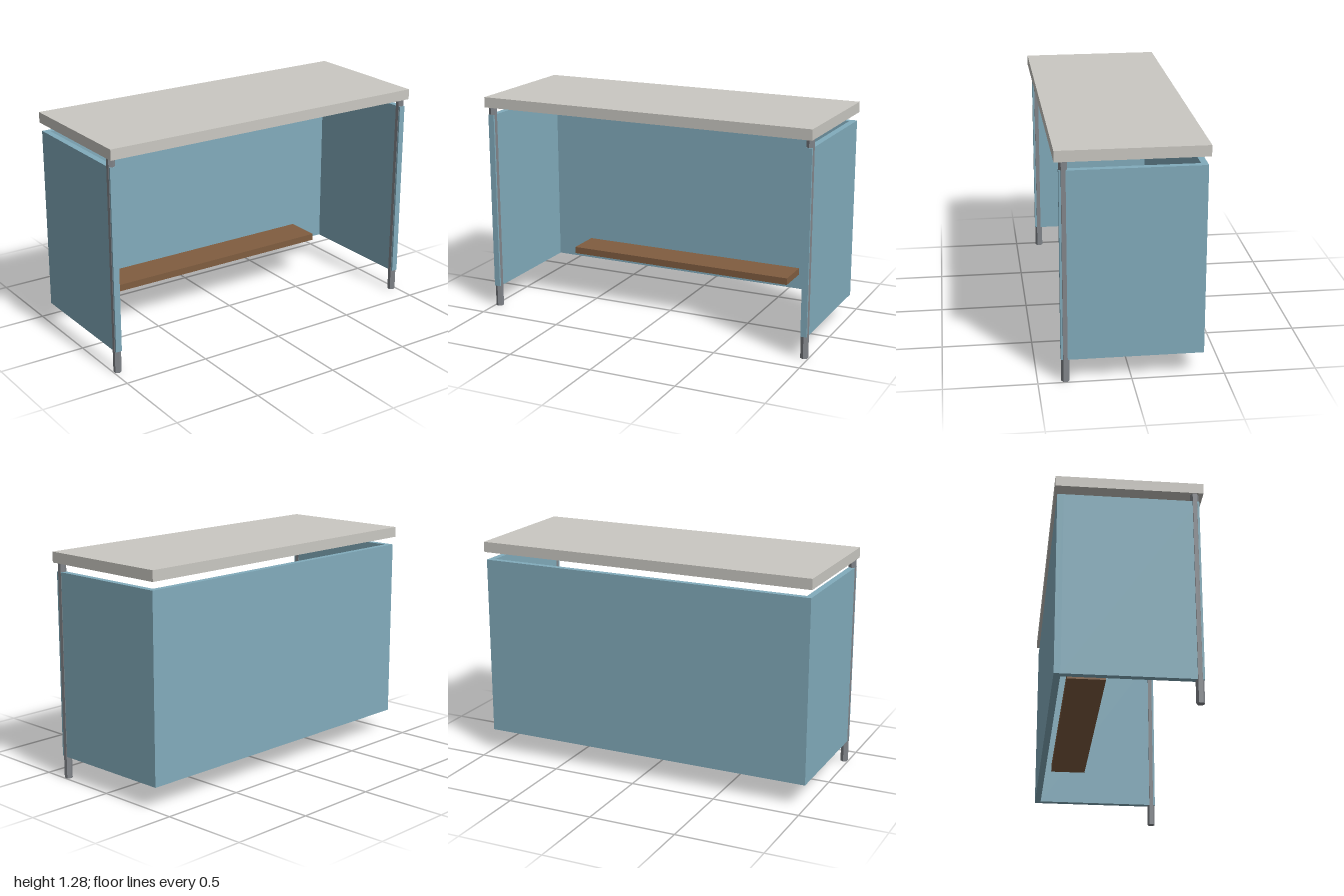
import * as THREE from 'three';

const material = (name, color) => {
  const m = new THREE.MeshStandardMaterial({ color });
  m.name = name;
  return m;
};

export function createModel() {
  const model = new THREE.Group();
  model.name = 'desk';

  const stone = material('pale grey', 0xcac8c2);
  const blue = material('dusty blue', 0x82acbc);
  const wood = material('brown wood', 0x805d40);
  const steel = material('steel grey', 0x83878c);
  steel.flatShading = true;

  // Box given by its minimum and maximum corners
  const box = (name, mat, [x0, y0, z0], [x1, y1, z1]) => {
    const mesh = new THREE.Mesh(new THREE.BoxGeometry(x1 - x0, y1 - y0, z1 - z0), mat);
    mesh.position.set((x0 + x1) / 2, (y0 + y1) / 2, (z0 + z1) / 2);
    mesh.name = name;
    model.add(mesh);
  };

  const low = 0.128, high = 1.178; // panel heights
  const outer = 0.9925, inner = 0.957; // side panel faces
  const back = -0.388, backInner = -0.353; // back panel faces
  const topBase = 1.225;

  box('tabletop', stone, [-1, topBase, -0.4], [1, 1.285, 0.4]);
  box('backPanel', blue, [-outer, low, back], [outer, high, backInner]);
  box('footRest', wood, [-0.7, 0.235, -0.303], [0.7, 0.275, -0.097]);

  // Side panels run forward from the back panel to the six-sided front legs
  const legGeometry = new THREE.CylinderGeometry(0.0225, 0.0225, topBase, 6);
  for (const [side, s] of [['left', 1], ['right', -1]]) {
    const xs = [s * inner, s * outer].sort((a, b) => a - b);
    box(`${side}SidePanel`, blue, [xs[0], low, backInner], [xs[1], high, 0.376]);

    const leg = new THREE.Mesh(legGeometry, steel);
    leg.position.set(s * 0.975, topBase / 2, 0.3525);
    leg.name = `${side}FrontLeg`;
    model.add(leg);
  }

  return model;
}
